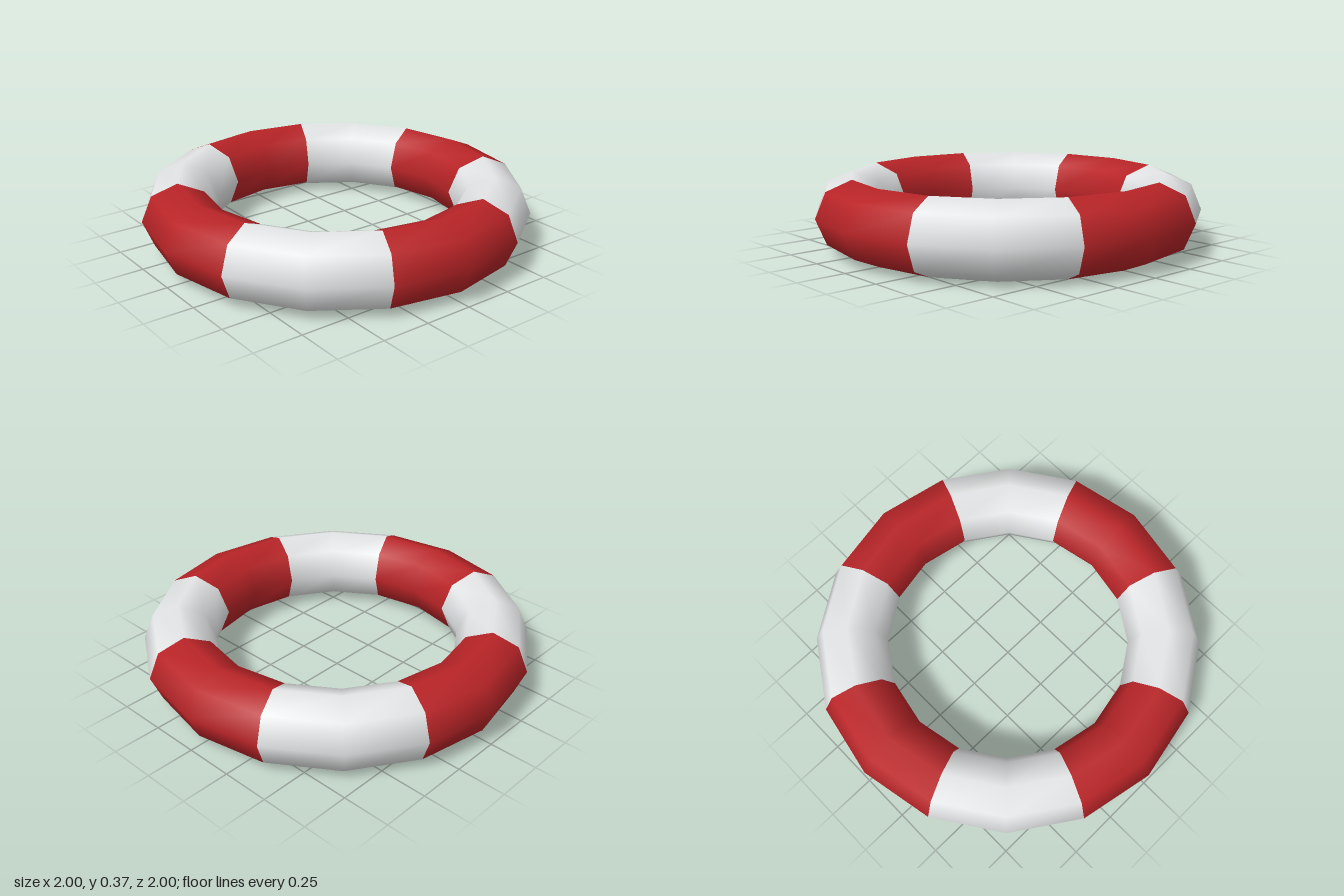
import * as THREE from 'three';

export function createModel() {
  const model = new THREE.Group();
  model.name = 'lifebuoy';

  const red = new THREE.MeshStandardMaterial({ color: 0xb92427 });
  red.name = 'red';
  const white = new THREE.MeshStandardMaterial({ color: 0xe4e5e6 });
  white.name = 'white';

  const tubeRadius = 0.187;
  const ringRadius = 1 - tubeRadius;
  const sections = 8;
  const arc = (Math.PI * 2) / sections;

  // Eight ring sections of two segments each, alternating red and white
  for (let i = 0; i < sections; i++) {
    const geometry = new THREE.TorusGeometry(ringRadius, tubeRadius, 8, 2, arc);
    geometry.rotateZ((i - 0.5) * arc); // red sections centred on the axes
    geometry.rotateX(Math.PI / 2); // lay the ring flat
    geometry.translate(0, tubeRadius, 0);
    const isRed = i % 2 === 0;
    const section = new THREE.Mesh(geometry, isRed ? red : white);
    section.name = isRed ? 'redSection' : 'whiteSection';
    model.add(section);
  }

  return model;
}
